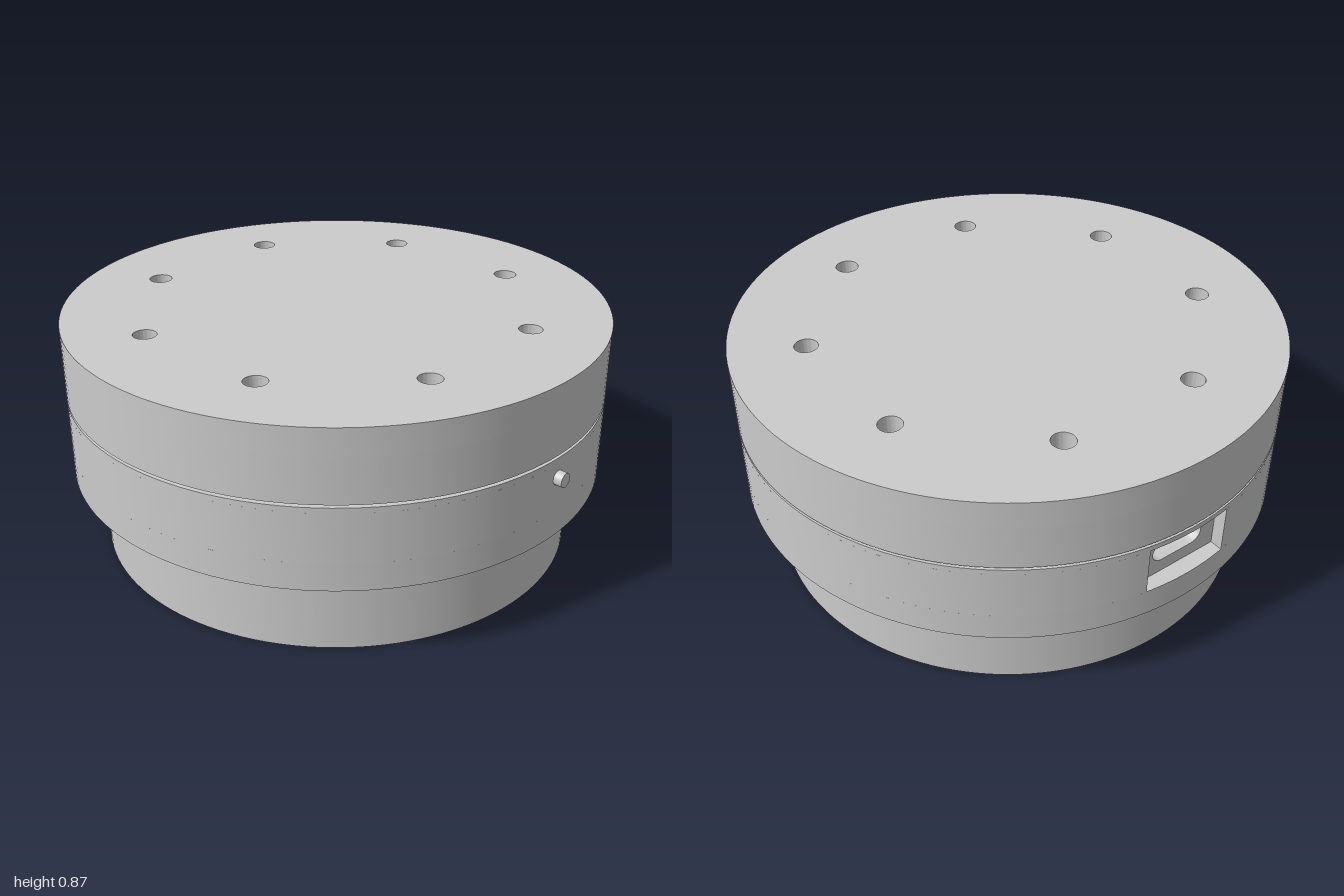
import * as THREE from 'three';
import { toCreasedNormals } from 'three/addons/utils/BufferGeometryUtils.js';

const R = 0.985;        // housing radius
const CAVITY = 0.85;    // inner cavity radius
const PORT_W = 0.165;   // half width of the port recess
const material = new THREE.MeshStandardMaterial({ color: 0xcccccc });

function addMesh(parent, name, geometry) {
  const mesh = new THREE.Mesh(toCreasedNormals(geometry, Math.PI / 6), material);
  mesh.name = name;
  parent.add(mesh);
  return mesh;
}

function circle(PathType, x, y, r) {
  return new PathType().absarc(x, y, r, 0, Math.PI * 2, false);
}

// Disc with round holes [x, z, radius], spanning y0 to y1
function disc(radius, holes = []) {
  const shape = circle(THREE.Shape, 0, 0, radius);
  for (const [x, z, r] of holes) shape.holes.push(circle(THREE.Path, x, -z, r));
  return shape;
}

function slab(shape, y0, y1) {
  return new THREE.ExtrudeGeometry(shape, { depth: y1 - y0, bevelEnabled: false, curveSegments: 64 })
    .rotateX(-Math.PI / 2).translate(0, y0, 0);
}

// Ring with a straight-sided gap at the back for the port
function gappedRing() {
  const outer = Math.asin(PORT_W / R), inner = Math.asin(PORT_W / CAVITY), back = Math.PI / 2;
  const shape = new THREE.Shape();
  shape.absarc(0, 0, R, back + outer, back - outer + Math.PI * 2, false);
  shape.absarc(0, 0, CAVITY, back - inner + Math.PI * 2, back + inner, true);
  return shape;
}

// Recess floor with a rounded slot
function portPanel() {
  const h = 0.09, w = 0.105, r = 0.04;
  const shape = new THREE.Shape();
  shape.moveTo(-PORT_W, -h).lineTo(PORT_W, -h).lineTo(PORT_W, h).lineTo(-PORT_W, h).closePath();
  const slot = new THREE.Path();
  slot.absarc(w - r, 0, r, -Math.PI / 2, Math.PI / 2, false);
  slot.absarc(-w + r, 0, r, Math.PI / 2, Math.PI * 1.5, false);
  slot.closePath();
  shape.holes.push(slot);
  return new THREE.ExtrudeGeometry(shape, { depth: 0.1, bevelEnabled: false, curveSegments: 10 });
}

export function createModel() {
  const model = new THREE.Group();
  model.name = 'roundHousing';
  const body = new THREE.Group();
  body.name = 'body';
  body.position.z = -0.015;
  model.add(body);

  // Lid with a circle of eight blind holes
  const topHoles = [];
  for (let i = 0; i < 8; i++) {
    const a = (i + 0.5) * Math.PI / 4;
    topHoles.push([0.715 * Math.cos(a), 0.715 * Math.sin(a), 0.042]);
  }
  addMesh(body, 'lidBase', slab(disc(R), 0.61, 0.77));
  addMesh(body, 'lidTop', slab(disc(R, topHoles), 0.77, 0.87));
  addMesh(body, 'seam', slab(disc(0.94), 0.60, 0.61));

  // Housing wall, open at the back where the port sits
  const ring = disc(R, [[0, 0, CAVITY]]);
  addMesh(body, 'wallBottom', slab(ring, 0.30, 0.40));
  addMesh(body, 'wallMiddle', slab(gappedRing(), 0.40, 0.58));
  addMesh(body, 'wallTop', slab(ring, 0.58, 0.60));
  addMesh(body, 'portPanel', portPanel()).position.set(0, 0.49, -0.925);

  // Floor plate with two holes
  addMesh(body, 'floorPlate', slab(disc(CAVITY, [[0, 0.02, 0.095], [-0.48, -0.015, 0.072]]), 0.30, 0.35));

  // Collar with ridged inside
  const profile = [[0.66, 0.30], [0.66, 0.26], [0.74, 0.26]];
  profile.push([0.74, 0.25], [0.787, 0.25]);
  for (const y of [0.17, 0.09]) {
    profile.push([0.787, y + 0.055], [0.74, y + 0.04], [0.74, y + 0.012], [0.787, y]);
  }
  profile.push([0.787, 0], [0.88, 0], [0.88, 0.30]);
  const points = profile.map(([r, y]) => new THREE.Vector2(r, y));
  addMesh(body, 'threadedCollar', new THREE.LatheGeometry(points, 128));

  // Small pin at the front
  const pin = new THREE.CylinderGeometry(0.026, 0.026, 0.08, 24).rotateX(Math.PI / 2);
  addMesh(model, 'frontPin', pin).position.set(0, 0.525, 0.96);

  return model;
}
